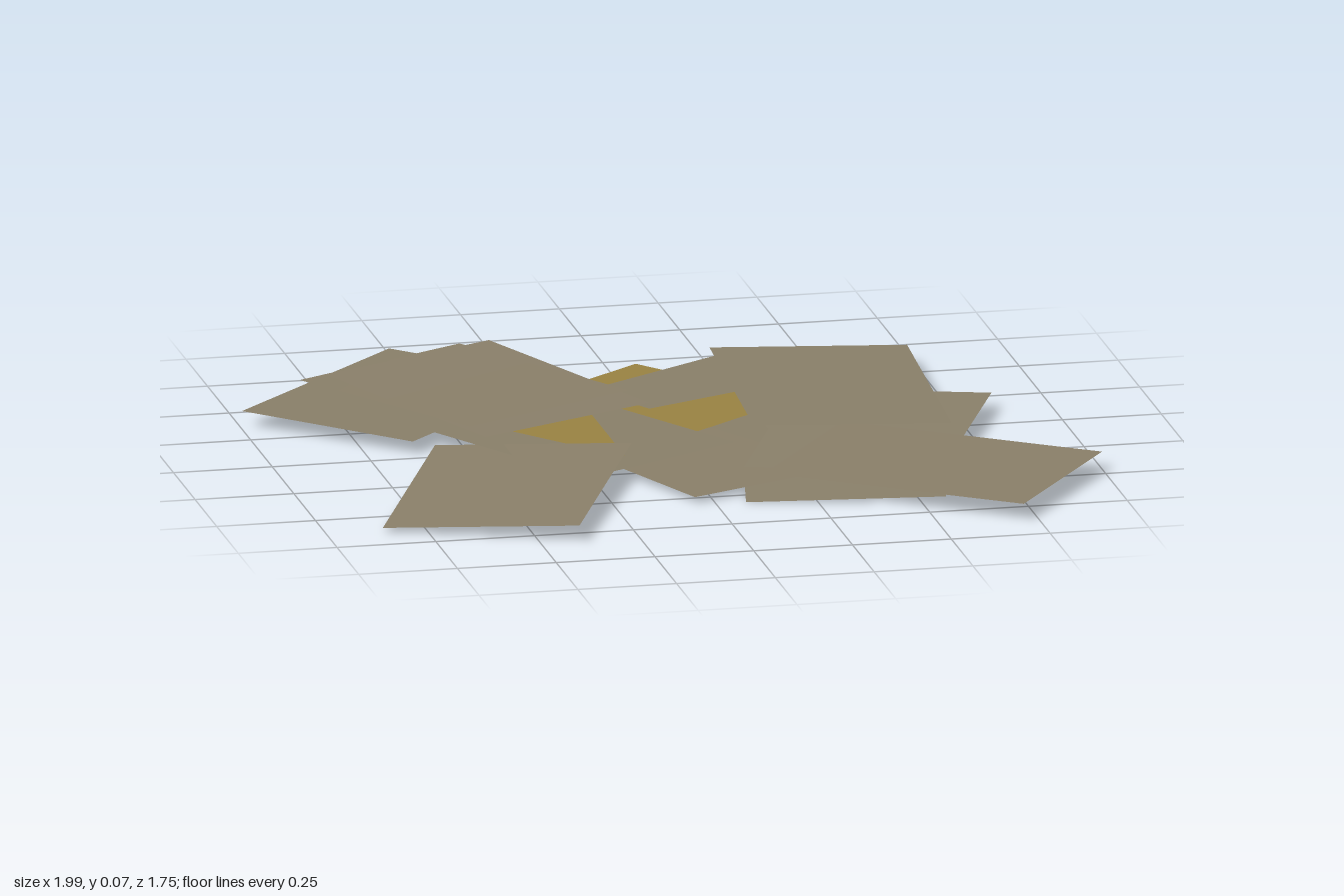
import * as THREE from 'three';

// Loose pile of thin sheets, each slightly tilted
const WIDTH = 0.495, LENGTH = 0.697;

// x, z: centre; turn: degrees about y; y: centre height; sx, sz: rise per unit x and z
const SHEETS = [
  { x: -0.495, z: 0.41, turn: -23, y: 0.037, sx: 0.07, sz: 0 },
  { x: 0.57, z: 0.47, turn: 54.6, y: 0.048, sx: 0.005, sz: -0.01 },
  { x: 0.465, z: -0.24, turn: -3.3, y: 0.057, sx: -0.03, sz: -0.01 },
  { x: -0.365, z: -0.415, turn: 22.5, y: 0.05, sx: 0.015, sz: -0.005 },
  { x: -0.415, z: -0.45, turn: 24.7, y: 0.052, sx: 0.04, sz: 0.04 },
  { x: -0.575, z: -0.455, turn: -43.8, y: 0.035, sx: -0.015, sz: 0 },
  { x: -0.255, z: -0.03, turn: 31, y: 0.04, sx: -0.01, sz: 0 },
  { x: 0.28, z: -0.225, turn: 34.3, y: 0.028, sx: -0.03, sz: -0.02 },
  { x: 0.04, z: 0.13, turn: 23.2, y: 0.022, sx: 0, sz: -0.01 },
  { x: 0.485, z: 0.1, turn: -22.7, y: 0.035, sx: 0.03, sz: 0 },
  { x: 0.385, z: 0.27, turn: -11, y: 0.02, sx: 0.03, sz: -0.03 },
  { x: -0.055, z: -0.195, turn: -50, y: 0.037, sx: -0.02, sz: 0, yellow: true },
];

// Flat rectangle, turned and then sheared to its tilt
function sheetGeometry({ turn, sx, sz }) {
  const geometry = new THREE.PlaneGeometry(WIDTH, LENGTH);
  geometry.rotateX(-Math.PI / 2);
  geometry.rotateY(THREE.MathUtils.degToRad(turn));
  const p = geometry.attributes.position;
  for (let i = 0; i < p.count; i++) p.setY(i, p.getX(i) * sx + p.getZ(i) * sz);
  geometry.computeVertexNormals();
  return geometry;
}

function sheetMaterial(name, color) {
  const material = new THREE.MeshStandardMaterial({ color, side: THREE.DoubleSide });
  material.name = name;
  return material;
}

export function createModel() {
  const group = new THREE.Group();
  group.name = 'sheetPile';
  const brown = sheetMaterial('dull brown', 0x887e68);
  const yellow = sheetMaterial('mustard yellow', 0x988242);

  SHEETS.forEach((s, i) => {
    const mesh = new THREE.Mesh(sheetGeometry(s), s.yellow ? yellow : brown);
    mesh.name = s.yellow ? 'yellowSheet' : `brownSheet${i + 1}`;
    mesh.position.set(s.x, s.y, s.z);
    group.add(mesh);
  });
  return group;
}
